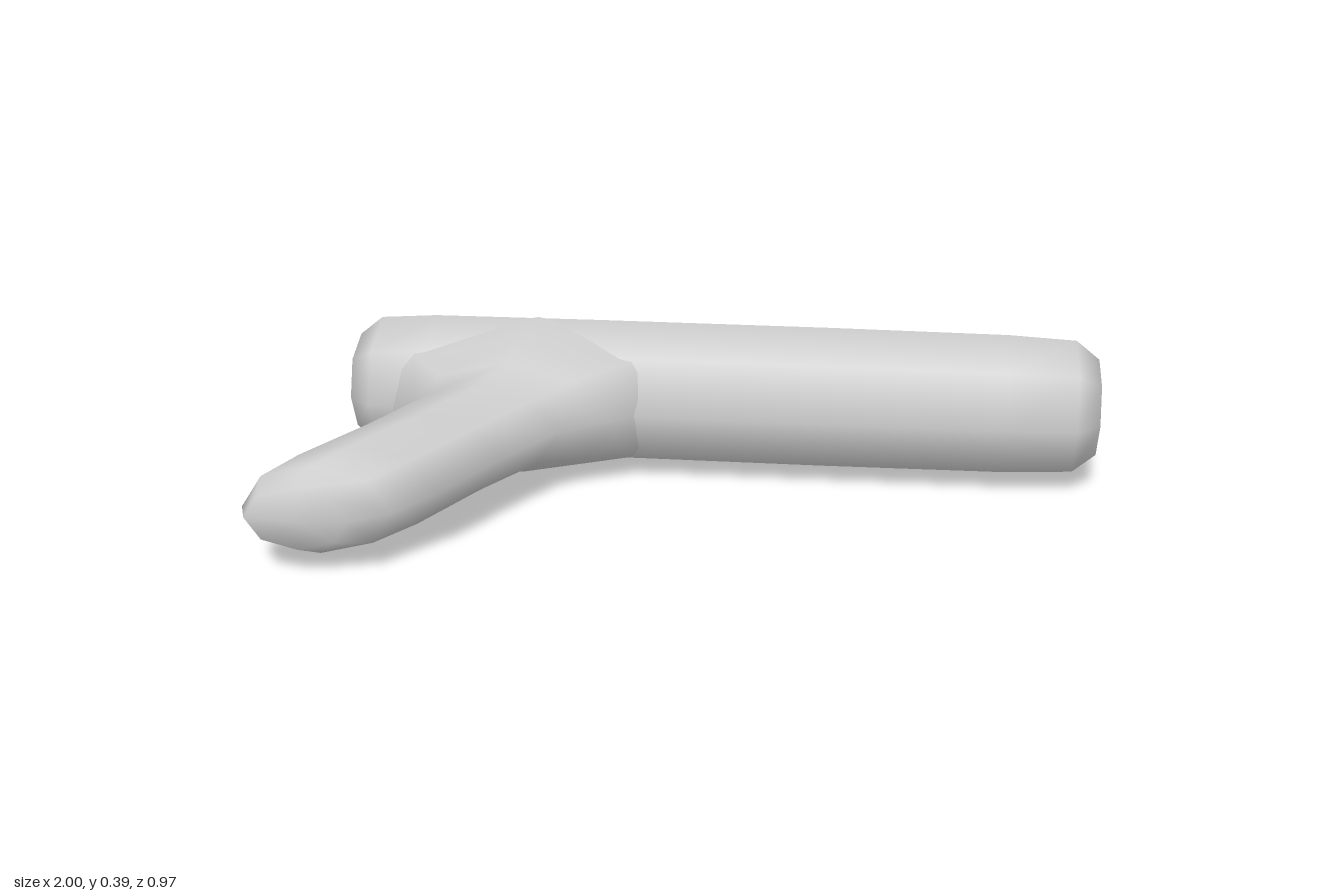
import * as THREE from 'three';

const SIDES = 8;

// Smooth skin through octagonal sections [z, xMin, xMax, yMin, yMax], closed at the last one
function loft(sections) {
  const positions = [], index = [];
  for (const [z, x0, x1, y0, y1] of sections) {
    for (let i = 0; i < SIDES; i++) {
      const a = (i / SIDES) * Math.PI * 2;
      positions.push(
        (x0 + x1) / 2 + Math.cos(a) * (x1 - x0) / 2,
        (y0 + y1) / 2 + Math.sin(a) * (y1 - y0) / 2,
        z
      );
    }
  }
  for (let s = 0; s < sections.length - 1; s++) {
    for (let i = 0; i < SIDES; i++) {
      const j = (i + 1) % SIDES;
      const a = s * SIDES + i, b = s * SIDES + j;
      index.push(a, b, b + SIDES, a, b + SIDES, a + SIDES);
    }
  }
  // End cap fan
  const [z, x0, x1, y0, y1] = sections[sections.length - 1];
  const tip = positions.length / 3, last = tip - SIDES;
  positions.push((x0 + x1) / 2, (y0 + y1) / 2, z + 0.011);
  for (let i = 0; i < SIDES; i++) index.push(last + i, last + (i + 1) % SIDES, tip);

  const geometry = new THREE.BufferGeometry();
  geometry.setAttribute('position', new THREE.Float32BufferAttribute(positions, 3));
  geometry.setIndex(index);
  geometry.computeVertexNormals();
  return geometry;
}

export function createModel() {
  const model = new THREE.Group();
  const grey = new THREE.MeshStandardMaterial({ color: 0xcccccc });
  grey.name = 'light grey';

  // Eight-sided barrel with domed ends, lying along x
  const profile = [
    [0, -0.937], [0.13, -0.925], [0.178, -0.865], [0.188, -0.72],
    [0.19, -0.3], [0.19, 0.3], [0.187, 0.75], [0.178, 0.92], [0.13, 0.98], [0, 0.995],
  ].map(([r, x]) => new THREE.Vector2(r, x));
  const barrelGeometry = new THREE.LatheGeometry(profile, SIDES);
  barrelGeometry.rotateZ(-Math.PI / 2);
  const barrel = new THREE.Mesh(barrelGeometry, grey);
  barrel.name = 'barrel';
  barrel.position.set(0, 0.195, -0.297);
  model.add(barrel);

  // Slanted grip that flares into the barrel
  const handle = new THREE.Mesh(loft([
    [-0.295, -0.9, 0.0, 0.003, 0.388],
    [-0.15, -0.86, -0.08, 0.015, 0.375],
    [-0.08, -0.74, -0.24, 0.045, 0.34],
    [0.0, -0.735, -0.35, 0.07, 0.31],
    [0.17, -0.83, -0.46, 0.07, 0.297],
    [0.35, -0.945, -0.565, 0.06, 0.288],
    [0.44, -1.0, -0.65, 0.052, 0.27],
    [0.476, -0.985, -0.745, 0.075, 0.225],
  ]), grey);
  handle.name = 'handle';
  model.add(handle);

  return model;
}
